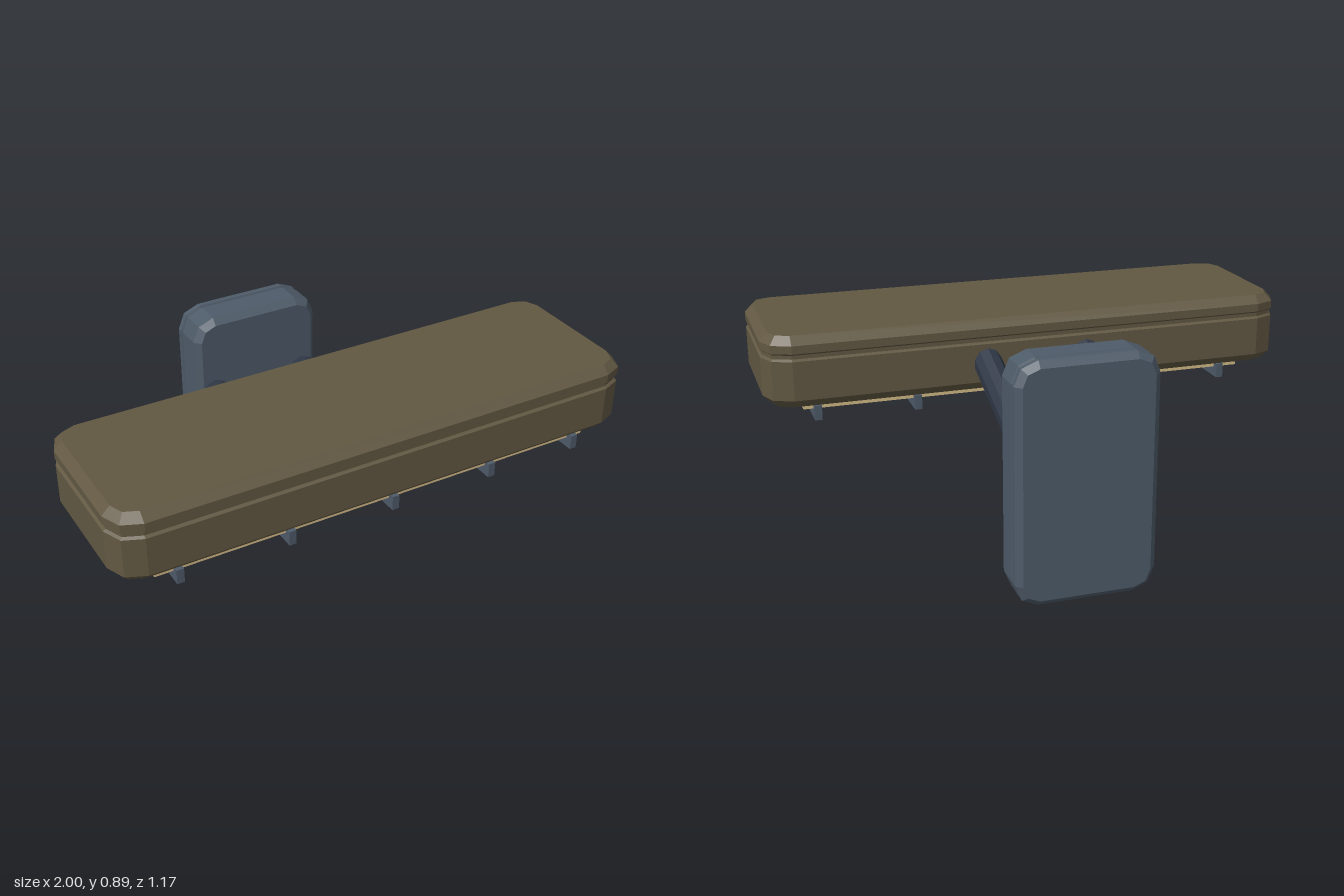
import * as THREE from 'three';

const mat = (name, color) => {
  const m = new THREE.MeshStandardMaterial({ color, flatShading: true });
  m.name = name;
  return m;
};

// Rounded rectangle with two-segment corners, as [x, z] points
function outline(halfX, halfZ, radius, inset) {
  const points = [];
  const r = radius - inset;
  const corners = [[1, 1], [-1, 1], [-1, -1], [1, -1]];
  corners.forEach(([sx, sz], c) => {
    for (let i = 0; i <= 2; i++) {
      const a = (c + i / 2) * Math.PI / 2;
      points.push([sx * (halfX - radius) + r * Math.cos(a), sz * (halfZ - radius) + r * Math.sin(a)]);
    }
  });
  return points;
}

// Stack of outlines along y, each level given as [y, inset], closed by flat caps
function stackedSlab(halfX, halfZ, radius, levels) {
  const pos = [];
  const rings = levels.map(([y, inset]) =>
    outline(halfX, halfZ, radius, inset).map(([x, z]) => [x, y, z]));
  const tri = (a, b, c) => pos.push(...a, ...b, ...c);
  const n = rings[0].length;
  const bottom = rings[0], top = rings[rings.length - 1];
  for (let i = 0; i < n; i++) {
    const j = (i + 1) % n;
    for (let k = 0; k < rings.length - 1; k++) {
      const lo = rings[k], hi = rings[k + 1];
      tri(lo[i], hi[i], hi[j]);
      tri(lo[i], hi[j], lo[j]);
    }
    tri([0, bottom[0][1], 0], bottom[i], bottom[j]);
    tri([0, top[0][1], 0], top[j], top[i]);
  }
  const geo = new THREE.BufferGeometry();
  geo.setAttribute('position', new THREE.Float32BufferAttribute(pos, 3));
  geo.computeVertexNormals();
  return geo;
}

export function createModel() {
  const model = new THREE.Group();
  model.name = 'wallLamp';
  const bronze = mat('bronze', 0x625842);
  const slate = mat('slate', 0x4e5b69);
  const darkSteel = mat('darkSteel', 0x2f3846);
  const cream = mat('cream', 0xd4bb88);

  const add = (name, geo, material, x, y, z) => {
    const mesh = new THREE.Mesh(geo, material);
    mesh.name = name;
    mesh.position.set(x, y, z);
    model.add(mesh);
    return mesh;
  };

  // Lamp housing with bevelled rims and a groove below the lid
  add('housing', stackedSlab(1, 0.305, 0.1, [
    [0.62, 0.033], [0.653, 0], [0.797, 0], [0.804, 0.01],
    [0.818, 0.01], [0.825, 0], [0.855, 0], [0.885, 0.03],
  ]), bronze, 0, 0, 0.28);

  // Wall plate standing upright, grooved near its back
  const plate = add('wallPlate', stackedSlab(0.26, 0.4475, 0.085, [
    [-0.585, 0.024], [-0.562, 0], [-0.541, 0], [-0.536, 0.01],
    [-0.53, 0.01], [-0.525, 0], [-0.43, 0], [-0.406, 0.024],
  ]), slate, 0, 0.4475, 0);
  plate.rotation.x = Math.PI / 2;

  // Pair of sloping arms from plate to housing
  const from = new THREE.Vector3(0, 0.565, -0.45);
  const to = new THREE.Vector3(0, 0.745, 0.03);
  const dir = to.clone().sub(from);
  const mid = from.clone().add(to).multiplyScalar(0.5);
  for (const side of [-1, 1]) {
    const arm = add(side > 0 ? 'leftArm' : 'rightArm',
      new THREE.CylinderGeometry(0.053, 0.053, dir.length(), 10),
      darkSteel, side * 0.19, mid.y, mid.z);
    arm.quaternion.setFromUnitVectors(new THREE.Vector3(0, 1, 0), dir.clone().normalize());
  }

  // Light diffuser below the housing
  add('diffuser', new THREE.BoxGeometry(1.72, 0.04, 0.46), cream, 0, 0.608, 0.295);

  // Cross bars guarding the diffuser
  for (const x of [-0.78, -0.37, 0.035, 0.44, 0.81]) {
    add('guardBar', new THREE.BoxGeometry(0.027, 0.055, 0.51), slate, x, 0.5775, 0.295);
  }
  return model;
}
